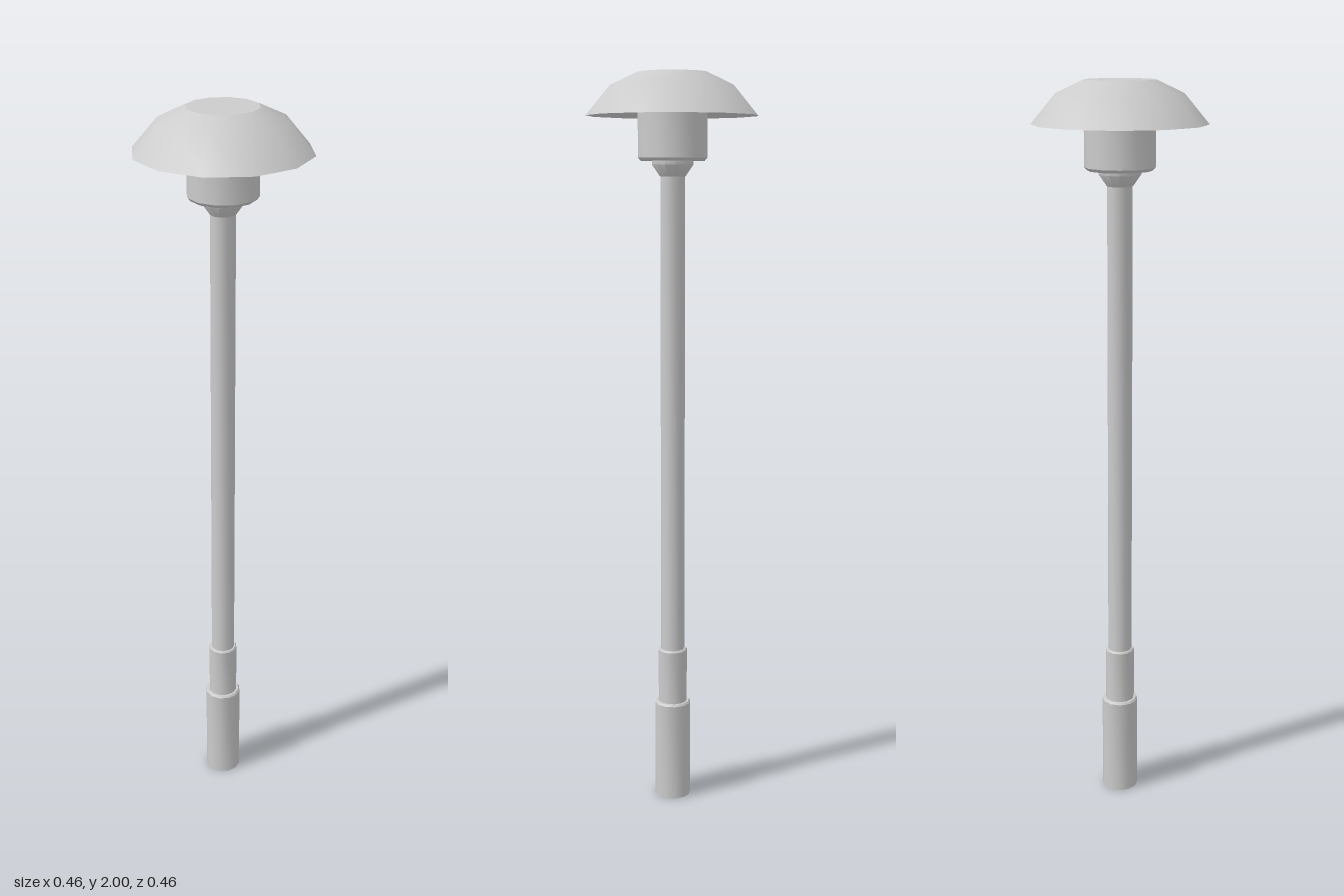
import * as THREE from 'three';
import { toCreasedNormals } from 'three/addons/utils/BufferGeometryUtils.js';

const SIDES = 12;
const material = new THREE.MeshStandardMaterial({ color: 0xcccccc, side: THREE.DoubleSide });

// Revolve [radius, height] points (listed bottom to top), keeping sharp edges crisp
function turned(name, profile) {
  const points = profile.map(([r, y]) => new THREE.Vector2(r, y));
  const geometry = toCreasedNormals(new THREE.LatheGeometry(points, SIDES), 0.6);
  const mesh = new THREE.Mesh(geometry, material);
  mesh.name = name;
  return mesh;
}

export function createModel() {
  const lamp = new THREE.Group();
  lamp.name = 'bollardLamp';

  // Stepped post: wide foot, narrower sleeve, long slim pole
  lamp.add(turned('base', [[0, 0], [0.05, 0], [0.05, 0.275], [0.046, 0.28], [0, 0.28]]));
  lamp.add(turned('sleeve', [[0.04, 0.28], [0.04, 0.43], [0.037, 0.434], [0, 0.434]]));
  lamp.add(turned('pole', [[0.033, 0.43], [0.033, 1.74]]));

  // Conical collar joining the pole to the lamp housing
  lamp.add(turned('collar', [[0, 1.735], [0.034, 1.735], [0.055, 1.765], [0.055, 1.776]]));

  // Lamp housing with a softened lower edge, reaching up to the shade
  lamp.add(turned('lampHousing', [[0, 1.775], [0.085, 1.775], [0.092, 1.783], [0.092, 1.995]]));

  // Open faceted dome and its flat top
  lamp.add(turned('shade', [[0.228, 1.89], [0.163, 1.967], [0.092, 2]]));
  lamp.add(turned('shadeTop', [[0.092, 2], [0, 2]]));

  return lamp;
}
